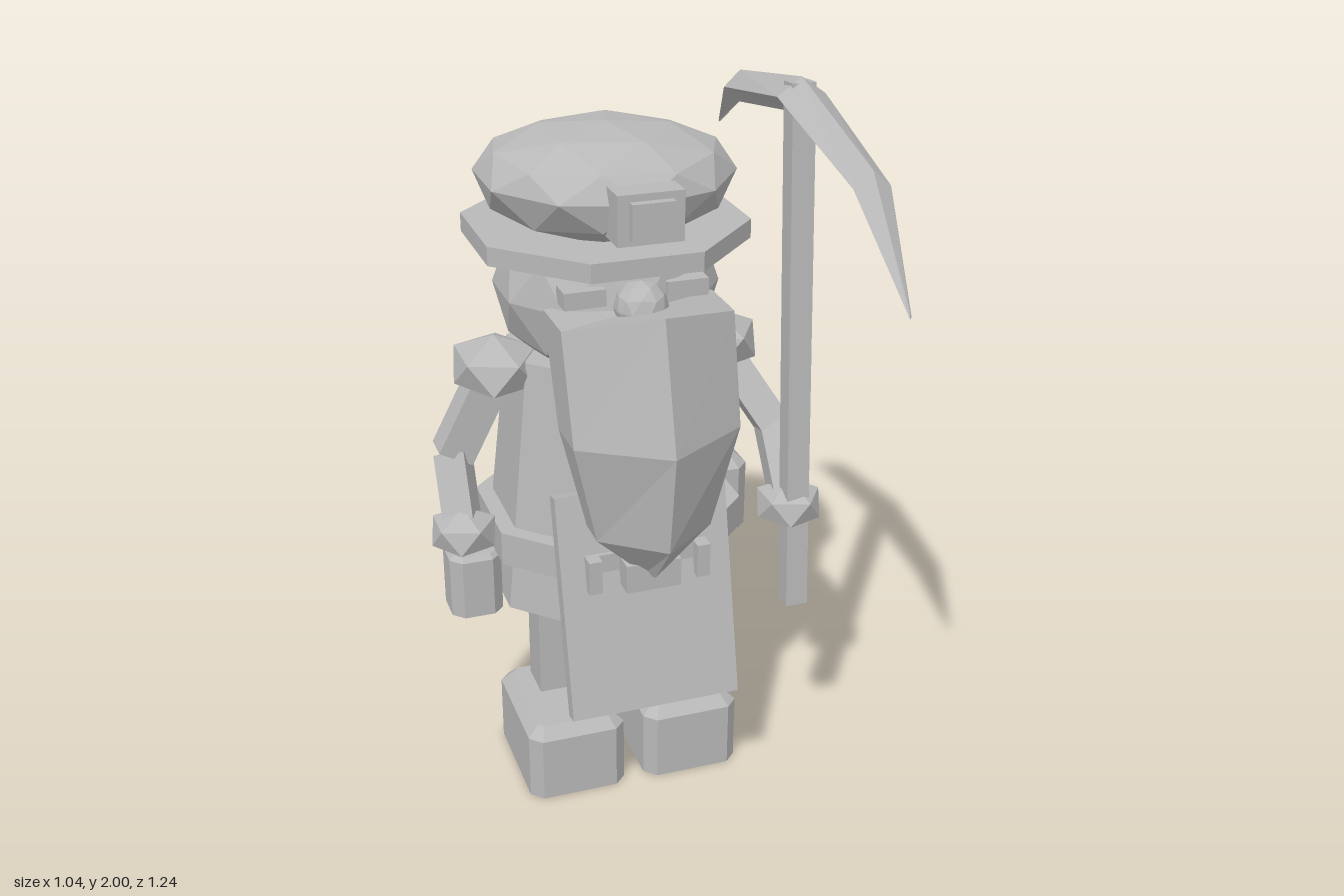
import * as THREE from 'three';

const AXIS_Z = -0.276; // the torso, head and hat share this centre line
const OCT = 1 / Math.cos(Math.PI / 8); // corner radius of an octagon per flat radius

export function createModel() {
  const model = new THREE.Group();
  const stone = new THREE.MeshStandardMaterial({
    color: 0xb8b8b8, flatShading: true, side: THREE.DoubleSide,
  });
  stone.name = 'plain grey';

  const add = (name, geometry, x = 0, y = 0, z = 0) => {
    const mesh = new THREE.Mesh(geometry, stone);
    mesh.name = name;
    mesh.position.set(x, y, z);
    model.add(mesh);
    return mesh;
  };

  // skin over a stack of rings with equal point counts, open at the first ring
  const loft = (rings) => {
    const n = rings[0].length, last = (rings.length - 1) * n, index = [];
    for (let r = 0; r < rings.length - 1; r++) {
      for (let i = 0; i < n; i++) {
        const a = r * n + i, b = r * n + (i + 1) % n;
        index.push(a, a + n, b, b, a + n, b + n);
      }
    }
    for (let i = 1; i < n - 1; i++) index.push(last, last + i + 1, last + i);
    const g = new THREE.BufferGeometry();
    g.setAttribute('position', new THREE.Float32BufferAttribute(rings.flat(2), 3));
    g.setIndex(index);
    const flat = g.toNonIndexed();
    flat.computeVertexNormals();
    return flat;
  };

  const box = (name, x0, x1, y0, y1, z0, z1) =>
    add(name, new THREE.BoxGeometry(x1 - x0, y1 - y0, z1 - z0),
      (x0 + x1) / 2, (y0 + y1) / 2, (z0 + z1) / 2);

  // hollow box, open below, with cut vertical corners and a bevelled top
  const cutBox = (name, x0, x1, y0, y1, z0, z1, c, bevel) => {
    const ring = (y, inset) => {
      const w = (x1 - x0) / 2 - inset, d = (z1 - z0) / 2 - inset, k = c - inset / 2;
      return [[w, k - d], [w, d - k], [w - k, d], [k - w, d],
        [-w, d - k], [-w, k - d], [k - w, -d], [w - k, -d]].map(([x, z]) => [x, y, z]);
    };
    const g = loft([ring(y0, 0), ring(y1 - bevel, 0), ring(y1, bevel)]);
    return add(name, g, (x0 + x1) / 2, 0, (z0 + z1) / 2);
  };

  // low-poly ball with a corner pointing up
  const ball = (name, detail, x, y, z, rx, ry, rz) => {
    const g = new THREE.IcosahedronGeometry(1, detail);
    g.rotateZ(-Math.atan(2 / (1 + Math.sqrt(5))));
    g.scale(rx, ry, rz);
    return add(name, g, x, y, z);
  };

  // eight-sided drum, sized by the distance from axis to flat side
  const drum = (name, top, bottom, y0, y1, open = false) => {
    const g = new THREE.CylinderGeometry(top * OCT, bottom * OCT, y1 - y0, 8, 1, open);
    g.rotateY(Math.PI / 8);
    return add(name, g, 0, (y0 + y1) / 2, AXIS_Z);
  };

  // rectangular bar between two points, optionally rolled about its length
  const bar = (name, from, to, width, depth, roll = 0) => {
    const a = new THREE.Vector3(...from), b = new THREE.Vector3(...to);
    const dir = b.clone().sub(a);
    const g = new THREE.BoxGeometry(width, dir.length(), depth);
    g.rotateY(roll);
    const mesh = add(name, g);
    mesh.position.copy(a).add(b).multiplyScalar(0.5);
    mesh.quaternion.setFromUnitVectors(new THREE.Vector3(0, 1, 0), dir.normalize());
    return mesh;
  };

  // robe with a hollow skirt, and a belt ring around it
  drum('robe', 0.25, 0.3, 0.81, 1.275);
  drum('skirt', 0.3, 0.325, 0.57, 0.81, true);
  const beltProfile = [[0.343, 0.715], [0.343, 0.81], [0.3, 0.81], [0.3, 0.715], [0.343, 0.715]];
  const belt = new THREE.LatheGeometry(
    beltProfile.map(([r, y]) => new THREE.Vector2(r * OCT, y)), 8);
  belt.rotateY(Math.PI / 8);
  add('belt', belt, 0, 0, AXIS_Z);
  box('beltBuckle', -0.075, 0.075, 0.72, 0.8, 0.03, 0.13);
  bar('apron', [0, 0.365, 0.137], [0, 0.965, -0.005], 0.47, 0.045);

  // head and face
  ball('head', 1, 0, 1.44, AXIS_Z, 0.3, 0.25, 0.287);
  ball('nose', 1, 0, 1.47, 0.02, 0.07, 0.07, 0.07);
  for (const s of [-1, 1]) {
    box('eye', s * 0.135 - 0.055, s * 0.135 + 0.055, 1.47, 1.515, -0.08, -0.01);
    box('beltLug', s * 0.15 - 0.018, s * 0.15 + 0.018, 0.715, 0.81, 0.03, 0.1);
  }

  // keeled beard: height, centre lift, half width, side z, keel z, back z
  const beardRows = [
    [0.76, 0, 0.02, 0.11, 0.14, 0.08],
    [0.89, 0, 0.155, 0.13, 0.25, 0.04],
    [1.17, 0, 0.22, 0.155, 0.29, 0.02],
    [1.455, 0.05, 0.225, 0.08, 0.2, -0.08],
  ];
  add('beard', loft(beardRows.map(([y, lift, w, side, keel, back]) => [
    [w, y, back], [w, y, side], [0, y + lift, keel], [-w, y, side], [-w, y, back],
  ])));

  // hat: brim, crown with a slightly deeper underside, and lamp
  drum('hatBrim', 0.35, 0.35, 1.565, 1.615);
  const crown = ball('hatCrown', 1, 0, 1.74, AXIS_Z, 0.34, 1, 0.335);
  const p = crown.geometry.attributes.position;
  for (let i = 0; i < p.count; i++) {
    const y = p.getY(i);
    p.setY(i, y * (y > 0 ? 0.125 : 0.17));
  }
  crown.geometry.computeVertexNormals();
  box('hatLamp', -0.085, 0.085, 1.656, 1.783, -0.06, 0.095);
  box('hatLampLens', -0.055, 0.055, 1.672, 1.765, 0.09, 0.118);

  // legs and boots
  for (const s of [-1, 1]) {
    box('leg', s * 0.17 - 0.057, s * 0.17 + 0.057, 0.18, 0.82, -0.325, -0.21);
    cutBox('boot', s * 0.17 - 0.14, s * 0.17 + 0.14, 0, 0.225, -0.385, -0.01, 0.032, 0.032);
  }

  // arms: side, elbow, hand, roll
  const arms = [
    [-1, [-0.435, 1.0, -0.27], [-0.435, 0.81, -0.18], 0.5],
    [1, [0.435, 1.02, -0.14], [0.425, 0.85, 0.015], 0],
  ];
  for (const [s, elbow, hand, roll] of arms) {
    ball('shoulder', 0, s * 0.31, 1.24, -0.27, 0.125, 0.085, 0.15);
    bar('upperArm', [s * 0.32, 1.22, -0.27], elbow, 0.1, 0.085);
    bar('forearm', elbow, hand, 0.085, 0.075, roll);
    ball('hand', 0, ...hand, 0.098, 0.07, 0.1);
  }

  // belt pouches
  cutBox('smallPouch', -0.47, -0.325, 0.525, 0.71, -0.34, -0.195, 0.03, 0.012);
  cutBox('largePouch', 0.285, 0.47, 0.57, 0.805, -0.555, -0.365, 0.035, 0.035);

  // pickaxe: shaft and curved diamond-section head
  bar('pickShaft', [0.427, 0.57, 0.07], [0.427, 1.985, -0.035], 0.062, 0.056);
  const pickStations = [ // z, top y, bottom y, half width
    [-0.56, 1.765, 1.755, 0.003],
    [-0.42, 1.93, 1.845, 0.045],
    [-0.02, 2.0, 1.91, 0.064],
    [0.39, 1.88, 1.8, 0.047],
    [0.615, 1.615, 1.605, 0.003],
  ];
  add('pickHead', loft(pickStations.map(([z, top, bottom, w]) => {
    const mid = (top + bottom) / 2;
    return [[w, mid, z], [0, bottom, z], [-w, mid, z], [0, top, z]];
  })), 0.425, 0, 0);

  return model;
}
